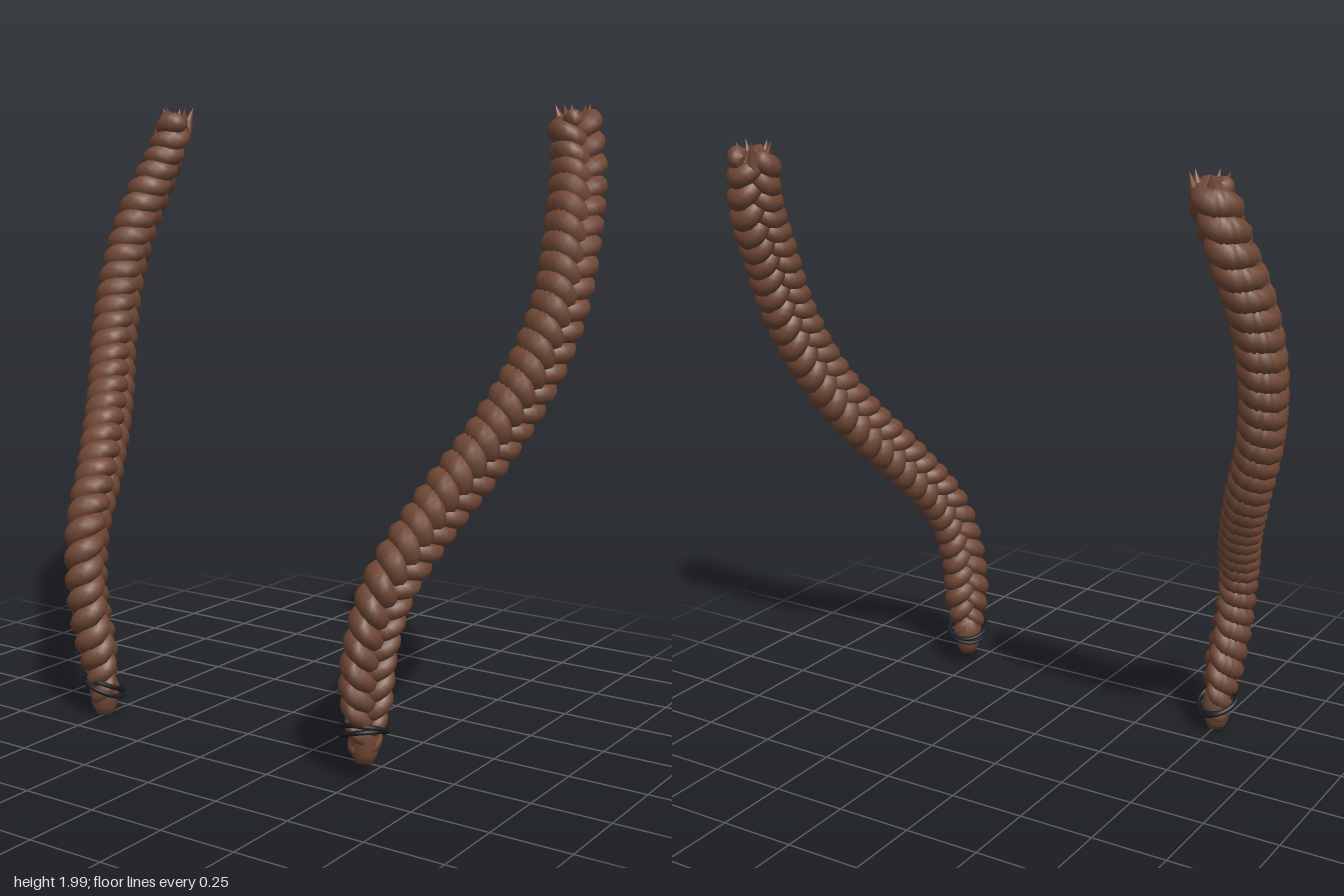
import * as THREE from 'three';

const hair = new THREE.MeshStandardMaterial({ color: 0x704836 });
hair.name = 'brown hair';
const elastic = new THREE.MeshStandardMaterial({ color: 0x1b1c21 });
elastic.name = 'black elastic';

const V = (x, y, z) => new THREE.Vector3(x, y, z);
const { lerp, smoothstep } = THREE.MathUtils;

// Centre lines from top to tip, with x given as distance from the middle
const LEFT = [
  [0.775, 1.95, -0.39], [0.81, 1.8, -0.36], [0.845, 1.6, -0.255], [0.855, 1.4, -0.165],
  [0.82, 1.2, -0.07], [0.745, 1.0, 0.05], [0.655, 0.8, 0.215], [0.585, 0.6, 0.36],
  [0.54, 0.4, 0.39], [0.52, 0.22, 0.375], [0.51, 0.09, 0.365]];
const RIGHT = [
  [0.77, 1.96, -0.39], [0.81, 1.82, -0.36], [0.85, 1.6, -0.255], [0.85, 1.4, -0.165],
  [0.81, 1.2, -0.07], [0.73, 1.0, 0.05], [0.635, 0.8, 0.215], [0.57, 0.6, 0.36],
  [0.54, 0.4, 0.395], [0.515, 0.2, 0.375], [0.503, 0.04, 0.365]];

const TURNS = 11;

// Frame of the braid at u: its point, width axis and outward face axis
function braidFrame(curve, side, u) {
  const point = curve.getPointAt(u);
  const tangent = curve.getTangentAt(u);
  const turn = 0.25 + 0.6 * Math.pow(Math.abs(u - 0.5) * 2, 1.5);
  const face = V(side, 0, turn);
  face.addScaledVector(tangent, -face.dot(tangent)).normalize();
  return { point, face, wide: V(0, 0, 0).crossVectors(tangent, face) };
}

// Thickness of the braid: a little slimmer at the top, tapering at the tip
function girth(u) {
  return lerp(0.92, 1, smoothstep(u, 0, 0.15)) * lerp(1, 0.9, smoothstep(u, 0.5, 0.85)) *
    lerp(1, 0.6, smoothstep(u, 0.9, 1));
}

// One strand weaving in a figure of eight across the braid
function strandGeometry(curve, side, phase) {
  const rings = 420, sides = 10;
  const path = [], faces = [];
  for (let i = 0; i <= rings; i++) {
    const u = i / rings;
    const { point, face, wide } = braidFrame(curve, side, u);
    const a = u * TURNS * Math.PI * 2 + phase;
    const g = girth(u);
    path.push(point.addScaledVector(wide, 0.05 * g * (Math.sin(a) - Math.sin(3 * a) / 9))
      .addScaledVector(face, -0.03 * g * Math.sin(2 * a)));
    faces.push(face);
  }
  const positions = [], index = [];
  for (let i = 0; i <= rings; i++) {
    const u = i / rings;
    const t = path[Math.min(i + 1, rings)].clone().sub(path[Math.max(i - 1, 0)]).normalize();
    const n = faces[i].clone().addScaledVector(t, -faces[i].dot(t)).normalize();
    const b = V(0, 0, 0).crossVectors(t, n);
    // Rounded, closed ends
    const e = Math.min(1, i / 4, (rings - i) / 4);
    const r = girth(u) * Math.sqrt(1 - (1 - e) ** 2);
    for (let j = 0; j < sides; j++) {
      const q = j / sides * Math.PI * 2;
      const p = path[i].clone().addScaledVector(n, 0.043 * r * Math.cos(q))
        .addScaledVector(b, -0.037 * r * Math.sin(q));
      positions.push(p.x, p.y, p.z);
    }
  }
  for (let i = 0; i < rings; i++) {
    for (let j = 0; j < sides; j++) {
      const k = (j + 1) % sides;
      const a = i * sides + j, b = i * sides + k, c = a + sides, d = b + sides;
      index.push(a, b, c, b, d, c);
    }
  }
  const geometry = new THREE.BufferGeometry();
  geometry.setAttribute('position', new THREE.Float32BufferAttribute(positions, 3));
  // Strand winding is the same on both sides because the frame is rebuilt, not mirrored
  geometry.setIndex(flipIfInside(positions, index, path, sides));
  geometry.computeVertexNormals();
  return geometry;
}

// Make sure the faces point away from the strand's path
function flipIfInside(positions, index, path, sides) {
  const at = (i) => V(0, 0, 0).fromArray(positions, i * 3);
  const i = 20 * sides;
  const a = at(i), normal = at(i + 1).sub(a).cross(at(i + sides).sub(a));
  return normal.dot(a.sub(path[20])) < 0 ? index.reverse() : index;
}

function add(group, name, geometry, material) {
  const mesh = new THREE.Mesh(geometry, material);
  mesh.name = name;
  group.add(mesh);
  return mesh;
}

function buildBraid(name, points, side) {
  const braid = new THREE.Group();
  braid.name = name;
  const curve = new THREE.CatmullRomCurve3(points.map(([x, y, z]) => V(side * x, y, z)));

  for (let s = 0; s < 3; s++) {
    add(braid, 'strand' + (s + 1), strandGeometry(curve, side, s * Math.PI * 2 / 3), hair);
  }

  // Loose ends sticking out at the top
  const top = curve.getPointAt(0);
  for (let i = 0; i < 5; i++) {
    const a = i * Math.PI * 0.4 + 0.4;
    const end = add(braid, 'looseEnd', new THREE.ConeGeometry(0.026, 0.09, 8), hair);
    end.position.set(top.x + 0.042 * Math.cos(a), top.y - 0.005, top.z + 0.042 * Math.sin(a));
    end.rotation.set(0.35 * Math.sin(a), 0, -0.35 * Math.cos(a));
  }

  // Tuft below the elastic
  const tip = curve.getPointAt(1);
  const tuft = add(braid, 'tuft', new THREE.LatheGeometry(
    [[0, -0.035], [0.028, -0.03], [0.042, 0], [0.05, 0.06], [0.035, 0.1], [0, 0.11]]
      .map(([x, y]) => new THREE.Vector2(x, y)), 14), hair);
  tuft.position.copy(tip);

  // Elastic wound twice around the end
  for (let i = 0; i < 2; i++) {
    const ring = add(braid, 'elastic', new THREE.TorusGeometry(0.068, 0.0075, 8, 32), elastic);
    ring.position.set(side * 0.507, tip.y + 0.055 + i * 0.016, 0.362);
    ring.rotation.set(Math.PI / 2 - 0.28 - i * 0.12, side * (0.28 - i * 0.16), 0);
  }
  return braid;
}

export function createModel() {
  const model = new THREE.Group();
  model.name = 'pairOfBraids';
  model.add(buildBraid('leftBraid', LEFT, 1), buildBraid('rightBraid', RIGHT, -1));
  return model;
}
